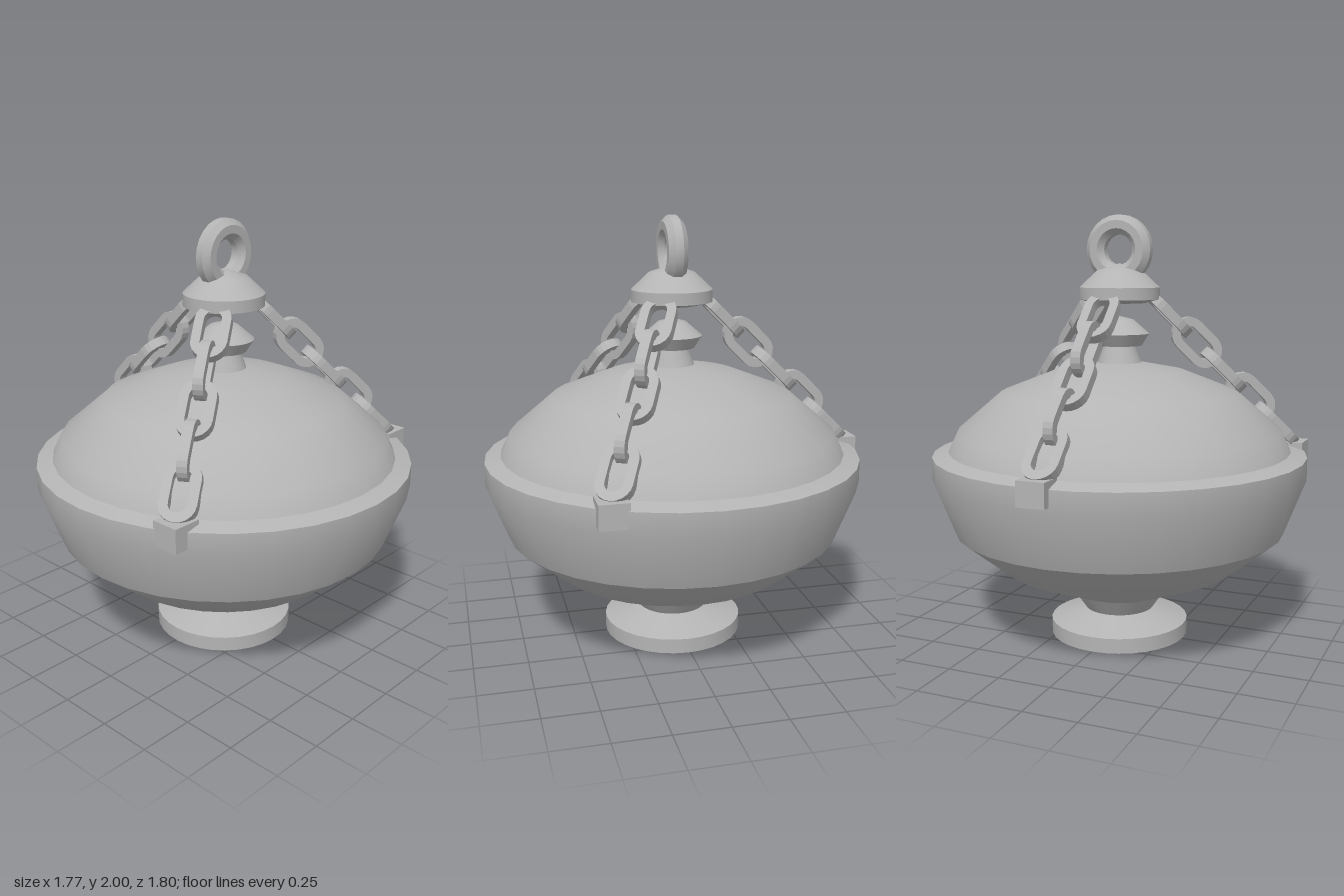
import * as THREE from 'three';
import { toCreasedNormals } from 'three/addons/utils/BufferGeometryUtils.js';

const metal = new THREE.MeshStandardMaterial({ color: 0xb4b4b4 });
metal.name = 'grey metal';

function add(parent, name, geometry) {
  const mesh = new THREE.Mesh(geometry, metal);
  mesh.name = name;
  parent.add(mesh);
  return mesh;
}

// Turned part from [radius, height] pairs, listed bottom to top
function turned(points, segments = 32) {
  const profile = points.map(([r, y]) => new THREE.Vector2(r, y));
  return toCreasedNormals(new THREE.LatheGeometry(profile, segments), 0.52);
}

// Stadium outline with faceted round ends, long axis on y
function stadium(path, radius, half) {
  path.absarc(0, half, radius, 0, Math.PI, false);
  path.absarc(0, -half, radius, Math.PI, Math.PI * 2, false);
  path.closePath();
  return path;
}

function linkGeometry() {
  const half = 0.055, outer = 0.082, bar = 0.042, depth = 0.046;
  const shape = stadium(new THREE.Shape(), outer, half);
  shape.holes.push(stadium(new THREE.Path(), outer - bar, half));
  const geometry = new THREE.ExtrudeGeometry(shape, { depth, bevelEnabled: false, curveSegments: 5 });
  geometry.translate(0, 0, -depth / 2);
  return geometry;
}

export function createModel() {
  const model = new THREE.Group();
  model.name = 'hanging censer';
  const body = new THREE.Group();
  body.name = 'censer';
  body.position.z = 0.01;
  model.add(body);

  // Foot, bowl, lid and knob
  add(body, 'foot', turned([[0, 0], [0.33, 0], [0.33, 0.07], [0.165, 0.125], [0.22, 0.205]]));
  add(body, 'bowl', turned([
    [0.22, 0.205], [0.56, 0.345], [0.785, 0.525], [0.885, 0.785], [0.885, 0.89], [0.81, 0.912],
  ]));
  add(body, 'lid', turned([
    [0.81, 0.912], [0.765, 1.005], [0.56, 1.18], [0.305, 1.28], [0.105, 1.318], [0, 1.32],
  ]));
  add(body, 'knob', turned([
    [0.105, 1.315], [0.075, 1.395], [0.105, 1.397], [0.14, 1.453], [0.065, 1.518], [0, 1.535],
  ], 24));

  // Cap gathering the chains
  add(body, 'cap', turned([
    [0, 1.595], [0.12, 1.595], [0.188, 1.612], [0.188, 1.667], [0.105, 1.745], [0, 1.778],
  ]));

  // Hanging ring with an eight-sided section
  const section = [];
  for (let i = 0; i <= 8; i++) {
    const a = (i - 0.5) * Math.PI / 4;
    section.push([0.115 + 0.0485 * Math.cos(a), 0.0485 * Math.sin(a)]);
  }
  const ring = add(body, 'hangingRing', turned(section, 24));
  ring.rotation.x = Math.PI / 2;
  ring.position.y = 1.84;

  // Three chains with their rim blocks
  const link = linkGeometry();
  const block = new THREE.BoxGeometry(0.13, 0.11, 0.13);
  for (const angle of [Math.PI, Math.PI / 3, -Math.PI / 3]) {
    const chain = new THREE.Group();
    chain.name = 'chain';
    chain.rotation.y = angle;
    body.add(chain);
    for (let i = 0; i < 5; i++) {
      const mesh = add(chain, 'chainLink', link);
      mesh.position.set(0, 1.54 - i * 0.133, 0.235 + i * 0.133);
      mesh.rotation.set(-Math.PI / 4, i % 2 ? Math.PI / 2 : 0, 0);
    }
    const lug = add(body, 'rimBlock', block);
    lug.position.set(0.85 * Math.sin(angle), 0.87, 0.85 * Math.cos(angle));
  }
  return model;
}
